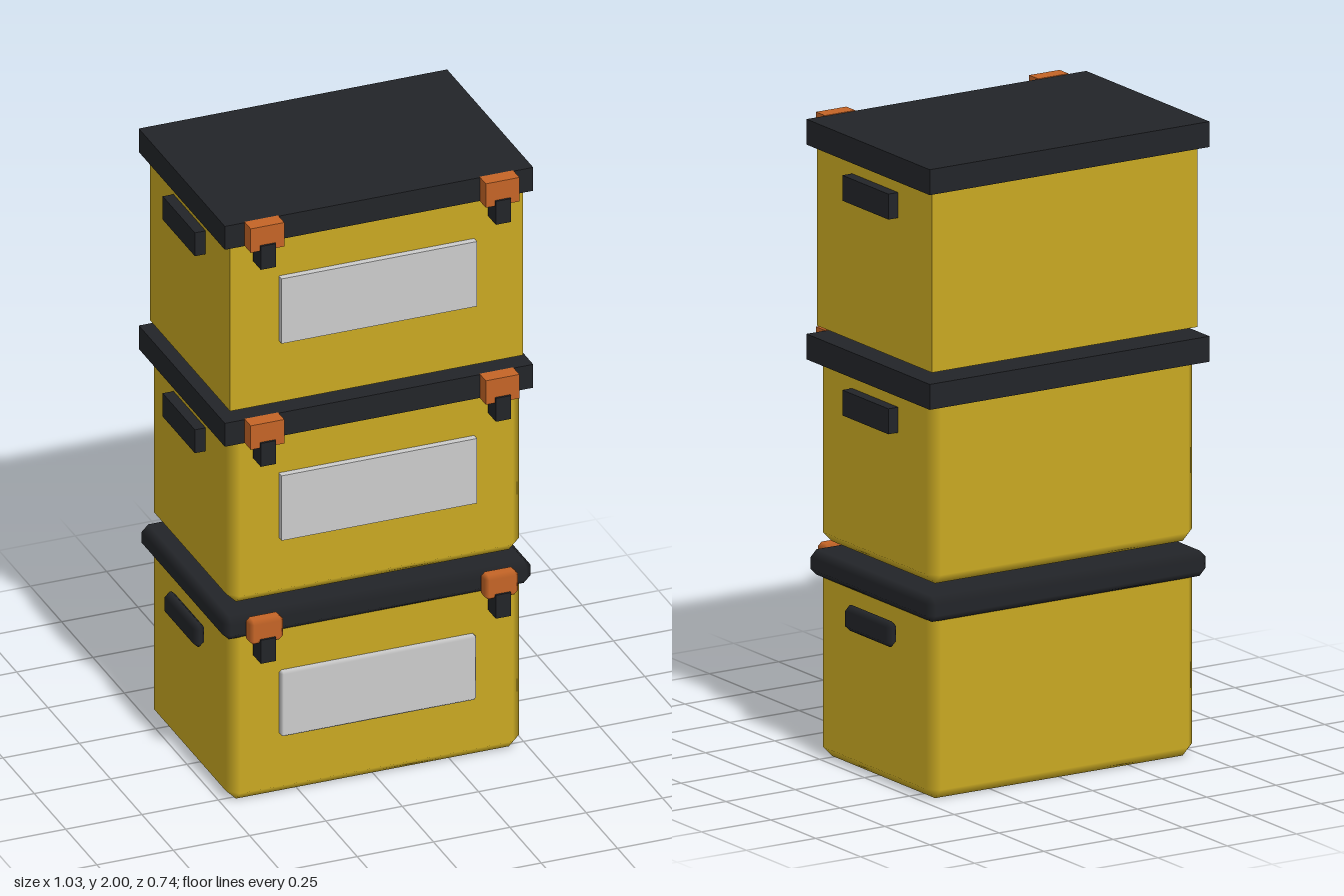
import * as THREE from 'three';
import { ConvexGeometry } from 'three/addons/geometries/ConvexGeometry.js';

const yellow = new THREE.MeshStandardMaterial({ color: 0xc8a822 });
const black = new THREE.MeshStandardMaterial({ color: 0x222428 });
const orange = new THREE.MeshStandardMaterial({ color: 0xc46426 });
const grey = new THREE.MeshStandardMaterial({ color: 0xcccccc });

// Box with 45 degree chamfers; the flat faces stay flat and the chamfers shade smoothly
function chamferBox(w, h, d, c) {
  const half = [w / 2, h / 2, d / 2];
  const points = [];
  for (let axis = 0; axis < 3; axis++) {
    for (let corner = 0; corner < 8; corner++) {
      const p = half.map((e, i) => ((corner >> i) & 1 ? 1 : -1) * (i === axis ? e : e - c));
      points.push(new THREE.Vector3(...p));
    }
  }
  const geometry = new ConvexGeometry(points);
  const pos = geometry.attributes.position;
  const normal = geometry.attributes.normal;
  for (let i = 0; i < pos.count; i++) {
    const p = [pos.getX(i), pos.getY(i), pos.getZ(i)];
    const n = p.map((v, k) => (Math.abs(v) > half[k] - c / 2 ? Math.sign(v) : 0));
    normal.setXYZ(i, ...n);
  }
  return geometry;
}

// Block given by its [min, max] range on each axis
function block(name, material, [x0, x1], [y0, y1], [z0, z1], chamfer = 0) {
  const size = [x1 - x0, y1 - y0, z1 - z0];
  const geometry = chamfer ? chamferBox(...size, chamfer) : new THREE.BoxGeometry(...size);
  const mesh = new THREE.Mesh(geometry, material);
  mesh.name = name;
  mesh.position.set((x0 + x1) / 2, (y0 + y1) / 2, (z0 + z1) / 2);
  return mesh;
}

// One lidded bin, with a chamfer size for each kind of part
function storageBin(name, bevel) {
  const bin = new THREE.Group();
  bin.name = name;
  bin.add(
    block('body', yellow, [-0.48, 0.48], [0, 0.61], [-0.345, 0.295], bevel.body),
    block('lid', black, [-0.505, 0.505], [0.568, 0.648], [-0.372, 0.315], bevel.lid),
    block('labelPlate', grey, [-0.32, 0.32], [0.21, 0.432], [0.291, 0.317], bevel.plate)
  );
  for (const [side, s] of [['left', 1], ['right', -1]]) {
    const span = (a, b) => (s > 0 ? [a, b] : [-b, -a]);
    bin.add(
      block(side + 'Handle', black, span(0.477, 0.515), [0.443, 0.523], [-0.157, 0.1], bevel.handle),
      block(side + 'Latch', orange, span(0.33, 0.44), [0.568, 0.65], [0.313, 0.363], bevel.latch),
      block(side + 'LatchHook', black, span(0.36, 0.41), [0.507, 0.587], [0.308, 0.37])
    );
  }
  return bin;
}

export function createModel() {
  const model = new THREE.Group();
  model.name = 'storageBinStack';
  // Bins from bottom to top: fully chamfered, chamfered body only, square edged
  const bins = [
    ['bottomBin', { body: 0.033, lid: 0.022, plate: 0.007, handle: 0.016, latch: 0.012 }],
    ['middleBin', { body: 0.033 }],
    ['topBin', {}],
  ];
  bins.forEach(([name, bevel], i) => {
    const bin = storageBin(name, bevel);
    bin.position.y = i * 0.675;
    model.add(bin);
  });
  return model;
}
